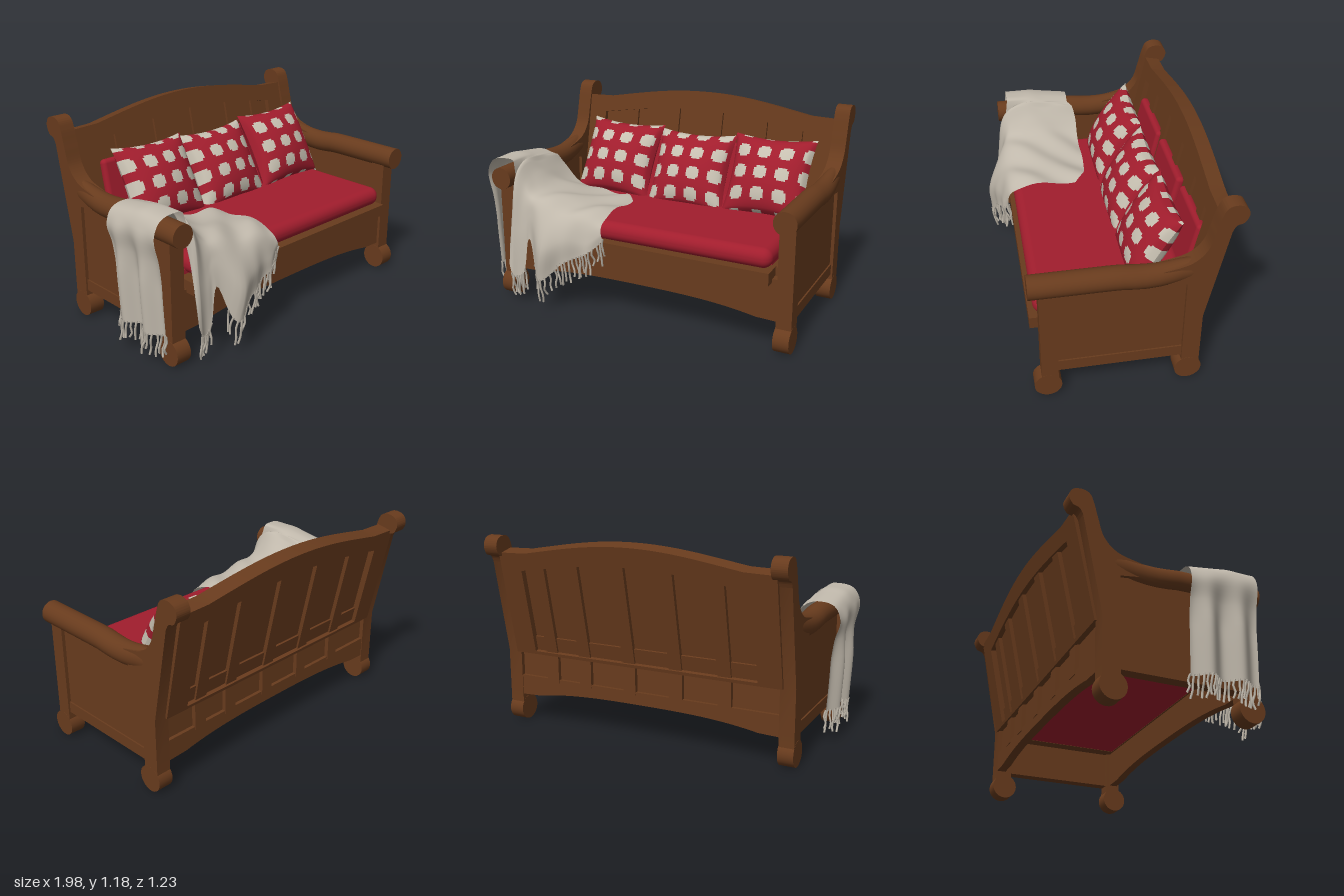
import * as THREE from 'three';
import { toCreasedNormals } from 'three/addons/utils/BufferGeometryUtils.js';
import { RoundedBoxGeometry } from 'three/addons/geometries/RoundedBoxGeometry.js';

const CX = 0.04; // bench centre line
const V2 = (a) => a.map(([x, y]) => new THREE.Vector2(x, y));

export function createModel() {
  const root = new THREE.Group();
  root.name = 'bench';
  const mat = (name, color, side = THREE.FrontSide) => {
    const m = new THREE.MeshStandardMaterial({ color, side });
    m.name = name;
    return m;
  };
  const wood = mat('brownWood', 0x683b1d);
  const red = mat('redFabric', 0xa11d2d);
  const cream = mat('creamPattern', 0xc6bfb0);
  const wool = mat('greyWool', 0xc0b8ab, THREE.DoubleSide);

  const add = (parent, name, geo, material, x = 0, y = 0, z = 0) => {
    const m = new THREE.Mesh(geo, material);
    m.name = name;
    m.position.set(x, y, z);
    parent.add(m);
    return m;
  };
  // box given by its min and max on each axis
  const box = (parent, name, x0, x1, y0, y1, z0, z1, material = wood) =>
    add(parent, name, new THREE.BoxGeometry(x1 - x0, y1 - y0, z1 - z0), material, (x0 + x1) / 2, (y0 + y1) / 2, (z0 + z1) / 2);
  const extrude = (shape, depth) => {
    const g = new THREE.ExtrudeGeometry(shape, { depth, bevelEnabled: false, curveSegments: 16 });
    g.translate(0, 0, -depth / 2);
    return toCreasedNormals(g, 0.6);
  };

  // ---- End frames: arm, scrolled back post, panel, feet
  const postShape = new THREE.Shape();
  postShape.moveTo(-0.33, 0.1);
  postShape.lineTo(-0.33, 0.7);
  postShape.lineTo(-0.2, 0.72);
  postShape.lineTo(-0.2, 0.8);
  postShape.splineThru(V2([[-0.34, 0.835], [-0.42, 0.91], [-0.455, 1.02], [-0.48, 1.115], [-0.505, 1.165], [-0.55, 1.18],
    [-0.6, 1.165], [-0.62, 1.12], [-0.6, 1.072], [-0.56, 1.055], [-0.54, 1.02]]));
  postShape.lineTo(-0.43, 0.46);
  postShape.lineTo(-0.43, 0.1);
  const postGeo = extrude(postShape, 0.09);
  postGeo.rotateY(-Math.PI / 2);

  const armGeo = new THREE.CylinderGeometry(0.066, 0.066, 0.86, 24, 14);
  armGeo.rotateX(Math.PI / 2).translate(0, 0.764, 0.07);
  const ap = armGeo.attributes.position;
  for (let i = 0; i < ap.count; i++) { // the arm narrows and rises into the post
    const t = Math.max(0, (0.02 - ap.getZ(i)) / 0.4);
    ap.setX(i, ap.getX(i) * (1 - 0.35 * t * t));
    ap.setY(i, ap.getY(i) - 0.014 * Math.sin(Math.min(1, t * 1.2) * Math.PI) + 0.015 * t * t * t);
  }
  const armSmooth = toCreasedNormals(armGeo, 0.7);
  const footGeo = new THREE.CylinderGeometry(0.076, 0.076, 0.092, 28).rotateZ(Math.PI / 2);

  for (const s of [-1, 1]) {
    const end = new THREE.Group();
    end.name = s > 0 ? 'leftEnd' : 'rightEnd';
    end.position.x = CX + s * 0.885;
    root.add(end);
    add(end, 'backPost', postGeo, wood);
    add(end, 'armRest', armSmooth, wood);
    box(end, 'frontPost', -0.045, 0.045, 0.08, 0.73, 0.355, 0.447);
    box(end, 'sidePanel', -0.025, 0.025, 0.175, 0.73, -0.34, 0.36);
    box(end, 'sideLowerRail', -0.034, 0.034, 0.172, 0.24, -0.34, 0.36);
    add(end, 'frontFoot', footGeo, wood, 0, 0.077, 0.413);
    add(end, 'backFoot', footGeo, wood, 0, 0.077, -0.37);
  }

  // ---- Seat frame, arched aprons, fabric seat base
  box(root, 'seatFrontBoard', -0.77, 0.845, 0.4, 0.472, 0.37, 0.49);
  for (const s of [-1, 1]) box(root, 'seatSideRail', CX + s * 0.825 - 0.045, CX + s * 0.825 + 0.045, 0.4, 0.47, -0.39, 0.38);
  box(root, 'seatBase', CX - 0.78, CX + 0.78, 0.402, 0.5, -0.38, 0.37, red);
  // rail with an arched lower edge and a flat top
  const archedRail = (top) => {
    const s = new THREE.Shape();
    s.moveTo(-0.86, top);
    s.lineTo(-0.86, 0.175);
    s.lineTo(-0.72, 0.18);
    s.bezierCurveTo(-0.5, 0.22, -0.3, 0.225, 0, 0.225);
    s.bezierCurveTo(0.3, 0.225, 0.5, 0.22, 0.72, 0.18);
    s.lineTo(0.86, 0.175);
    s.lineTo(0.86, top);
    return s;
  };
  add(root, 'frontApron', extrude(archedRail(0.42), 0.05), wood, CX, 0, 0.405);
  add(root, 'backBottomRail', extrude(archedRail(0.3), 0.055), wood, CX, 0, -0.398);
  box(root, 'lowerBackBoard', CX - 0.86, CX + 0.86, 0.26, 0.48, -0.405, -0.375);

  // ---- Leaning back: arched frame, board and battens
  const back = new THREE.Group();
  back.name = 'backRest';
  back.position.set(CX, 0.46, -0.395);
  back.rotation.x = -0.207;
  root.add(back);
  const frame = new THREE.Shape();
  frame.moveTo(-0.86, 0);
  frame.lineTo(0.86, 0);
  frame.lineTo(0.86, 0.645);
  frame.lineTo(0.68, 0.65);
  frame.bezierCurveTo(0.45, 0.69, 0.25, 0.733, 0, 0.733);
  frame.bezierCurveTo(-0.25, 0.733, -0.45, 0.69, -0.68, 0.65);
  frame.lineTo(-0.86, 0.645);
  const opening = new THREE.Path();
  opening.moveTo(-0.72, 0.02);
  opening.lineTo(-0.72, 0.54);
  opening.bezierCurveTo(-0.4, 0.595, -0.2, 0.615, 0, 0.615);
  opening.bezierCurveTo(0.2, 0.615, 0.4, 0.595, 0.72, 0.54);
  opening.lineTo(0.72, 0.02);
  frame.holes.push(opening);
  add(back, 'backFrame', extrude(frame, 0.09), wood, 0, 0, -0.003);
  add(back, 'backBoard', extrude(new THREE.Shape(opening.getPoints(16)), 0.024), wood);
  box(back, 'backMiddleRail', -0.73, 0.73, 0.01, 0.11, -0.024, 0.012);
  for (const x of [-0.52, -0.22, 0.08, 0.38, 0.61]) {
    box(back, 'batten', x - 0.04, x + 0.04, 0.01, 0.62, -0.036, 0.028);
    box(root, 'lowerBatten', CX + x - 0.04, CX + x + 0.04, 0.28, 0.46, -0.43, -0.39);
  }
  for (const [a, b] of [[-0.69, -0.235], [-0.185, 0.265], [0.315, 0.71]])
    add(back, 'backPad', new RoundedBoxGeometry(b - a, 0.37, 0.055, 3, 0.025), red, (a + b) / 2, 0.25, 0.025);

  // ---- Seat cushion
  add(root, 'seatCushion', new RoundedBoxGeometry(1.57, 0.115, 0.86, 5, 0.055), red, 0.055, 0.527, 0.035);

  // ---- Patterned pillows: two puffed grids, squares picked out by cell
  const pillow = (ox, oy) => {
    const N = 36, pos = [], plain = [], dots = [];
    const fromDot = (c, o) => Math.abs(((((c - o + 5) % 10) + 10) % 10) - 4.5);
    for (const f of [1, -1]) {
      const base = pos.length / 3;
      for (let j = 0; j <= N; j++) for (let i = 0; i <= N; i++) {
        const u = (i / N) * 2 - 1, v = (j / N) * 2 - 1;
        const puff = Math.pow(Math.max(0, (1 - u * u) * (1 - v * v)), 0.5);
        pos.push(0.255 * u * (1 - 0.08 * (1 - v * v)), 0.25 * v * (1 - 0.1 * (1 - u * u)), f * 0.11 * puff);
      }
      for (let j = 0; j < N; j++) for (let i = 0; i < N; i++) {
        const a = base + j * (N + 1) + i, b = a + 1, c = a + N + 1, d = c + 1;
        const dx = fromDot(i, ox), dy = fromDot(j, oy);
        const list = dx < 3 && dy < 3 && dx + dy < 5 ? dots : plain;
        if (f > 0) list.push(a, b, d, a, d, c); else list.push(a, d, b, a, c, d);
      }
    }
    const g = new THREE.BufferGeometry();
    g.setAttribute('position', new THREE.Float32BufferAttribute(pos, 3));
    g.setIndex([...plain, ...dots]);
    g.addGroup(0, plain.length, 0);
    g.addGroup(plain.length, dots.length, 1);
    g.computeVertexNormals();
    return g;
  };
  [[-0.42, 2, 7, 0.775, -0.02], [0.08, 2, 5, 0.755, 0.01], [0.585, 6, 8, 0.78, 0.01]].forEach(([x, ox, oy, y, roll]) => {
    const p = add(root, 'pillow', pillow(ox, oy), [red, cream], x, y, -0.2);
    p.rotation.set(-0.52, 0, roll);
  });

  // ---- Throw blanket: cross-sections running back to front, from outer hem to seat
  const outer = [[-0.945, 0.19], [-0.957, 0.4], [-0.966, 0.62], [-0.985, 0.77], [-0.94, 0.855], [-0.85, 0.875], [-0.79, 0.86]];
  const sections = outer.map(([x, y]) => [0, 1, 2, 3, 4, 5].map((k) =>
    new THREE.Vector3(x, y - (y > 0.7 ? 0.012 * Math.max(0, 3 - k) : 0), 0.04 + k * 0.08)));
  const inner = [
    [-0.77, 0.81, 0.02, -0.77, 0.84, 0.2, -0.77, 0.84, 0.38, -0.765, 0.77, 0.47, -0.765, 0.5, 0.52, -0.77, 0.18, 0.55],
    [-0.72, 0.74, 0, -0.71, 0.77, 0.2, -0.71, 0.76, 0.36, -0.71, 0.72, 0.45, -0.7, 0.48, 0.51, -0.7, 0.19, 0.53],
    [-0.64, 0.67, 0, -0.64, 0.7, 0.2, -0.64, 0.7, 0.38, -0.65, 0.66, 0.47, -0.65, 0.56, 0.5, -0.645, 0.42, 0.52],
    [-0.52, 0.62, 0, -0.52, 0.66, 0.2, -0.52, 0.67, 0.38, -0.51, 0.62, 0.5, -0.51, 0.42, 0.6, -0.55, 0.21, 0.59],
    [-0.38, 0.61, 0, -0.38, 0.63, 0.2, -0.38, 0.64, 0.38, -0.38, 0.6, 0.49, -0.38, 0.46, 0.56, -0.4, 0.31, 0.56],
    [-0.25, 0.61, 0.02, -0.25, 0.62, 0.2, -0.25, 0.63, 0.38, -0.25, 0.59, 0.49, -0.25, 0.48, 0.53, -0.27, 0.39, 0.54],
    [-0.18, 0.6, 0.08, -0.175, 0.61, 0.24, -0.17, 0.61, 0.4, -0.17, 0.58, 0.48, -0.16, 0.53, 0.51, -0.15, 0.49, 0.51],
  ];
  for (const a of inner) sections.push([0, 1, 2, 3, 4, 5].map((k) => new THREE.Vector3(a[3 * k], a[3 * k + 1], a[3 * k + 2])));
  const NS = 78, NT = 40, rows = sections.map((s) => { // resample each section
    const c = new THREE.CatmullRomCurve3(s);
    return Array.from({ length: NT + 1 }, (_, j) => c.getPoint(j / NT));
  });
  const grid = Array.from({ length: NS + 1 }, () => []);
  for (let j = 0; j <= NT; j++) {
    const c = new THREE.CatmullRomCurve3(rows.map((r) => r[j]));
    for (let i = 0; i <= NS; i++) {
      const p = c.getPoint(i / NS);
      // folds in the outer drop and soft creases on the seat
      const hang = i < 30 ? THREE.MathUtils.clamp((0.8 - p.y) / 0.3, 0, 1) : 0;
      p.x += 0.028 * hang * Math.sin(p.z * 34);
      if (i > 42) p.y += 0.01 * Math.sin(p.x * 24 + p.z * 19);
      if (i > 42 && j > 26) p.z += 0.01 * Math.sin(p.x * 45) * ((j - 26) / 14);
      grid[i][j] = p;
    }
  }
  const sheet = new THREE.BufferGeometry().setFromPoints(grid.flat());
  const idx = [];
  for (let i = 0; i < NS; i++) for (let j = 0; j < NT; j++) {
    const a = i * (NT + 1) + j, b = a + NT + 1;
    idx.push(a, a + 1, b, b, a + 1, b + 1);
  }
  sheet.setIndex(idx);
  sheet.computeVertexNormals();
  add(root, 'throwBlanket', sheet, wool);

  // ---- Fringe along both hems
  let seed = 7;
  const rnd = () => (seed = (seed * 16807) % 2147483647) / 2147483647 - 0.5;
  const fringe = new THREE.Group();
  fringe.name = 'blanketFringe';
  root.add(fringe);
  const tassel = (p, len) => {
    const bend = () => 0.018 * rnd();
    const q = [0, 0.35, 0.7, 1].map((t) => new THREE.Vector3(p.x + (t ? bend() : 0), p.y + 0.01 - t * len, p.z + (t ? bend() - 0.02 * t : 0)));
    add(fringe, 'tassel', new THREE.TubeGeometry(new THREE.CatmullRomCurve3(q), 6, 0.0065, 5), wool);
  };
  for (let j = 0; j <= NT; j += 2) tassel(grid[0][j], 0.125 + 0.04 * rnd());
  for (let i = 42; i <= NS; i++) if (i < 50 || i > 57) tassel(grid[i][NT], 0.13 + 0.05 * rnd());

  return root;
}
